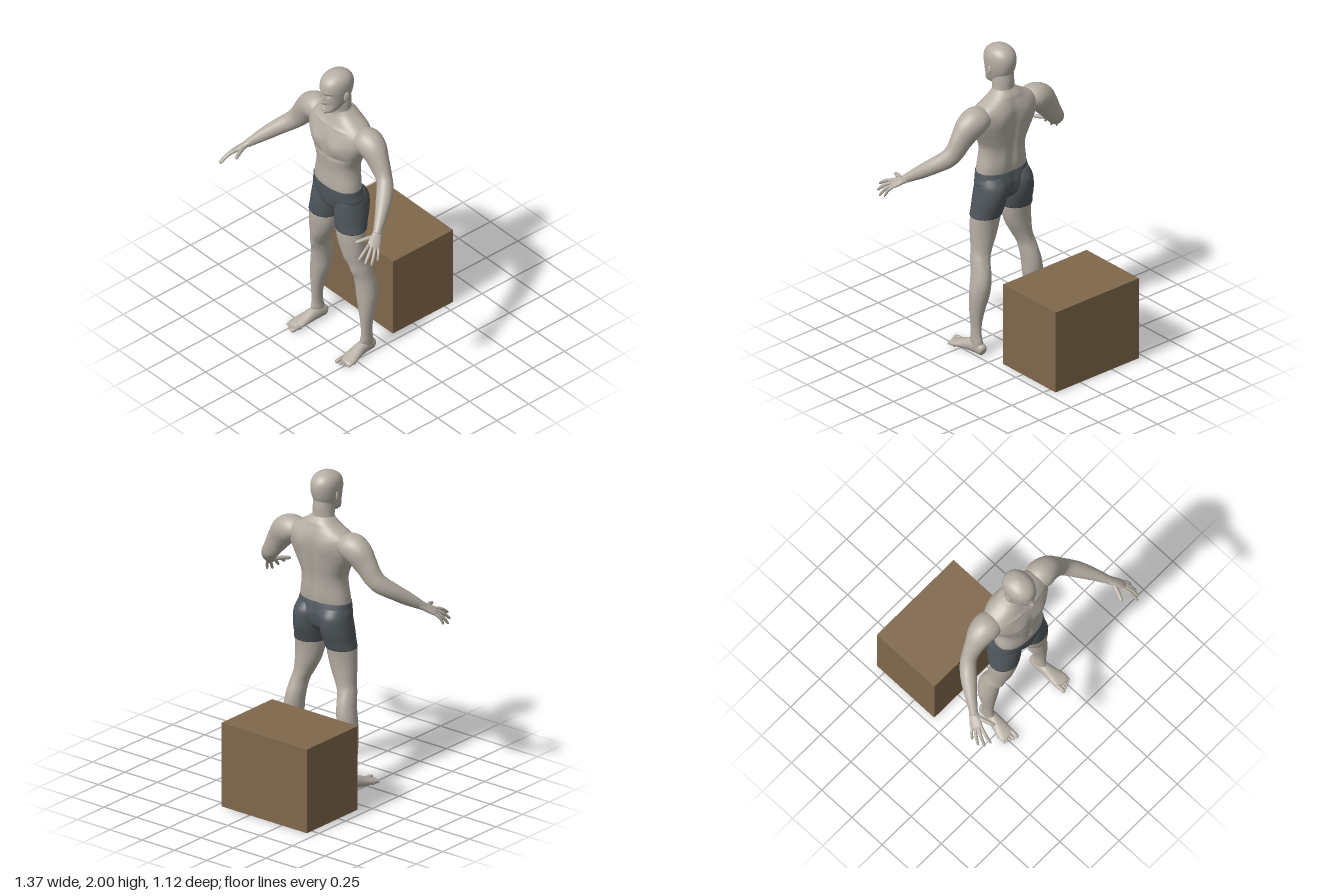
import * as THREE from 'three';

const skin = new THREE.MeshStandardMaterial({ color: 0xb5aea4 });
skin.name = 'skin';
const cloth = new THREE.MeshStandardMaterial({ color: 0x50575c });
cloth.name = 'shortsCloth';
const wood = new THREE.MeshStandardMaterial({ color: 0x80684b });
wood.name = 'boxBrown';

// Catmull-Rom resampling of every column of a key table
function smooth(keys, steps) {
  const rows = [];
  const last = keys.length - 1;
  for (let i = 0; i < last; i++) {
    const p0 = keys[Math.max(i - 1, 0)], p1 = keys[i];
    const p2 = keys[i + 1], p3 = keys[Math.min(i + 2, last)];
    for (let s = 0; s < steps; s++) {
      const t = s / steps;
      rows.push(p1.map((b, k) => 0.5 * (2 * b + (p2[k] - p0[k]) * t
        + (2 * p0[k] - 5 * b + 4 * p2[k] - p3[k]) * t * t
        + (3 * b - p0[k] - 3 * p2[k] + p3[k]) * t * t * t)));
    }
  }
  rows.push(keys[last].slice());
  return rows;
}

// Closed skin over a list of rings, each an array of Vector3
function skinRings(name, rings, material) {
  const n = rings[0].length, pos = [], index = [];
  rings.forEach(r => r.forEach(v => pos.push(v.x, v.y, v.z)));
  for (let i = 0; i < rings.length - 1; i++) {
    for (let j = 0; j < n; j++) {
      const a = i * n + j, b = i * n + (j + 1) % n;
      index.push(a, a + n, b, b, a + n, b + n);
    }
  }
  [0, rings.length - 1].forEach((r, end) => {
    const c = new THREE.Vector3();
    rings[r].forEach(v => c.addScaledVector(v, 1 / n));
    const id = pos.length / 3;
    pos.push(c.x, c.y, c.z);
    for (let j = 0; j < n; j++) {
      const a = r * n + j, b = r * n + (j + 1) % n;
      if (end) index.push(id, b, a); else index.push(id, a, b);
    }
  });
  const g = new THREE.BufferGeometry();
  g.setAttribute('position', new THREE.Float32BufferAttribute(pos, 3));
  g.setIndex(index);
  g.computeVertexNormals();
  const mesh = new THREE.Mesh(g, material);
  mesh.name = name;
  return mesh;
}

// Upright body: keys [centreX, y, halfWidth, zFront, zBack];
// bumps [x, y, spreadX, spreadY, amount, front(1)/back(-1)] are mirrored
function upright(name, keys, material, { side = 1, n = 48, steps = 6, e = 1, bumps = [] } = {}) {
  const rings = smooth(keys, steps).map(([cx, y, rx, zf, zb]) => {
    const ring = [];
    for (let j = 0; j < n; j++) {
      const t = j / n * Math.PI * 2, c = Math.cos(t), s = Math.sin(t);
      const x = side * cx + rx * Math.sign(c) * Math.abs(c) ** e;
      let z = (zf + zb) / 2 + (zf - zb) / 2 * Math.sign(s) * Math.abs(s) ** e;
      for (const [bx, by, sx, sy, amount, face] of bumps) {
        if (s * face <= 0) continue;
        const u = (Math.abs(x) - bx) / sx, v = (y - by) / sy;
        z += face * amount * Math.abs(s) * Math.exp(-u * u - v * v);
      }
      ring.push(new THREE.Vector3(x, y, z));
    }
    return ring;
  });
  return skinRings(name, rings, material);
}

// Limb along a path: keys [x, y, z, halfWidth, halfThickness]
function limb(name, keys, side, up, { n = 28, steps = 6 } = {}) {
  const rows = smooth(keys, steps);
  const pts = rows.map(r => new THREE.Vector3(r[0] * side, r[1], r[2]));
  const upV = new THREE.Vector3(up[0] * side, up[1], up[2]);
  const rings = rows.map((r, i) => {
    const T = pts[Math.min(i + 1, pts.length - 1)].clone().sub(pts[Math.max(i - 1, 0)]).normalize();
    const U = T.clone().cross(upV).normalize(), V = U.clone().cross(T);
    return Array.from({ length: n }, (_, j) => {
      const t = j / n * Math.PI * 2;
      return pts[i].clone().addScaledVector(U, r[3] * Math.cos(t)).addScaledVector(V, r[4] * Math.sin(t));
    });
  });
  return skinRings(name, rings, skin);
}

// Finger or toe: slightly arched, with a rounded tip
function digit(name, from, to, r, arch, side, up) {
  const at = (t, k, lift) => [0, 1, 2].map(i => from[i] + (to[i] - from[i]) * t + up[i] * lift)
    .concat(r * k, r * k);
  return limb(name, [at(0, 1, 0), at(0.4, 1, arch), at(0.75, 0.9, arch * 0.6),
    at(0.93, 0.7, arch * 0.15), at(1, 0.15, 0)], side, up, { n: 12, steps: 3 });
}

function ball(name, x, y, z, sx, sy, sz) {
  const mesh = new THREE.Mesh(new THREE.SphereGeometry(1, 20, 14), skin);
  mesh.name = name;
  mesh.position.set(x, y, z);
  mesh.scale.set(sx, sy, sz);
  return mesh;
}

export function createModel() {
  const model = new THREE.Group();
  model.name = 'manWithBox';

  // Box behind the figure
  const box = new THREE.Mesh(new THREE.BoxGeometry(0.66, 0.54, 0.476), wood);
  box.name = 'box';
  box.position.set(-0.125, 0.28, -0.322);
  model.add(box);

  // Torso with chest, belly and back muscles
  model.add(upright('torso', [
    [0, 1.165, 0.172, 0.272, 0.075], [0, 1.22, 0.168, 0.272, 0.068], [0, 1.30, 0.155, 0.268, 0.064],
    [0, 1.36, 0.157, 0.272, 0.056], [0, 1.42, 0.182, 0.278, 0.045], [0, 1.48, 0.212, 0.28, 0.036],
    [0, 1.54, 0.235, 0.276, 0.030], [0, 1.60, 0.235, 0.258, 0.030], [0, 1.64, 0.2, 0.238, 0.038],
    [0, 1.675, 0.14, 0.222, 0.05], [0, 1.70, 0.1, 0.212, 0.06], [0, 1.73, 0.065, 0.205, 0.085],
  ], skin, { n: 96, steps: 8, e: 0.88, bumps: [
    [0.09, 1.50, 0.06, 0.045, 0.014, 1], [0, 1.50, 0.014, 0.07, -0.008, 1],
    [0.09, 1.425, 0.07, 0.016, -0.008, 1], [0, 1.32, 0.012, 0.09, -0.005, 1],
    [0.045, 1.33, 0.03, 0.09, 0.004, 1], [0, 1.235, 0.009, 0.009, -0.009, 1],
    [0.08, 1.625, 0.06, 0.01, 0.006, 1], [0, 1.42, 0.022, 0.2, -0.014, -1],
    [0.10, 1.57, 0.05, 0.06, 0.010, -1], [0.06, 1.27, 0.03, 0.08, 0.006, -1],
  ] }));

  // Neck and head
  model.add(upright('neck', [
    [0, 1.62, 0.10, 0.2, 0.055], [0, 1.68, 0.083, 0.212, 0.066], [0, 1.72, 0.07, 0.212, 0.084],
    [0, 1.78, 0.066, 0.222, 0.085], [0, 1.83, 0.06, 0.2, 0.09],
  ], skin, { bumps: [[0, 1.71, 0.014, 0.018, 0.006, 1]] }));
  model.add(upright('head', [
    [0, 1.735, 0.022, 0.282, 0.215], [0, 1.75, 0.045, 0.29, 0.17], [0, 1.775, 0.06, 0.287, 0.13],
    [0, 1.81, 0.072, 0.284, 0.10], [0, 1.85, 0.080, 0.285, 0.08], [0, 1.90, 0.085, 0.292, 0.070],
    [0, 1.94, 0.082, 0.285, 0.075], [0, 1.97, 0.068, 0.262, 0.095], [0, 1.99, 0.042, 0.225, 0.125],
    [0, 2.0, 0.008, 0.185, 0.165],
  ], skin, { n: 112, steps: 9, e: 0.94, bumps: [
    [0, 1.838, 0.011, 0.024, 0.016, 1], [0, 1.820, 0.013, 0.010, 0.016, 1],
    [0.014, 1.816, 0.008, 0.007, 0.008, 1], [0.033, 1.872, 0.016, 0.011, -0.013, 1],
    [0.032, 1.892, 0.024, 0.007, 0.004, 1], [0, 1.784, 0.019, 0.005, 0.007, 1],
    [0, 1.770, 0.017, 0.005, 0.007, 1], [0, 1.777, 0.024, 0.003, -0.005, 1],
    [0, 1.748, 0.02, 0.010, 0.005, 1], [0.045, 1.80, 0.018, 0.02, -0.005, 1],
  ] }));

  // Shorts seat
  model.add(upright('shortsSeat', [
    [0, 0.985, 0.04, 0.21, 0.11], [0, 1.03, 0.14, 0.25, 0.065], [0, 1.10, 0.189, 0.27, 0.05],
    [0, 1.15, 0.182, 0.276, 0.060], [0, 1.185, 0.176, 0.277, 0.070],
  ], cloth, { n: 64, e: 0.88, bumps: [[0, 1.06, 0.04, 0.05, 0.012, 1], [0, 1.08, 0.02, 0.08, -0.012, -1]] }));

  for (const side of [1, -1]) {
    const label = side > 0 ? 'left' : 'right';
    const add = (...meshes) => model.add(...meshes);

    // Eye and ear
    add(ball(label + 'Eye', side * 0.033, 1.873, 0.261, 0.012, 0.009, 0.012));
    const ear = ball(label + 'Ear', side * 0.087, 1.853, 0.178, 0.008, 0.033, 0.019);
    ear.rotation.set(-0.15, side * -0.3, 0);
    add(ear);

    // Leg and shorts leg
    add(upright(label + 'Leg', [
      [0.220, 0.04, 0.030, 0.17, 0.085], [0.223, 0.09, 0.029, 0.185, 0.092], [0.225, 0.13, 0.027, 0.18, 0.099],
      [0.225, 0.20, 0.030, 0.18, 0.10], [0.221, 0.30, 0.045, 0.186, 0.083], [0.210, 0.40, 0.061, 0.19, 0.062],
      [0.202, 0.48, 0.060, 0.194, 0.055], [0.192, 0.55, 0.057, 0.2, 0.066], [0.181, 0.62, 0.056, 0.218, 0.087],
      [0.160, 0.68, 0.064, 0.232, 0.10], [0.138, 0.76, 0.083, 0.25, 0.10], [0.125, 0.84, 0.094, 0.26, 0.094],
      [0.118, 0.92, 0.097, 0.262, 0.082],
    ], skin, { side, bumps: [
      [0.185, 0.61, 0.025, 0.03, 0.006, 1], [0.13, 0.70, 0.03, 0.04, 0.006, 1],
      [0.19, 0.64, 0.025, 0.05, -0.005, -1],
    ] }));
    add(upright(label + 'ShortsLeg', [
      [0.120, 0.898, 0.100, 0.265, 0.079], [0.111, 0.95, 0.100, 0.266, 0.062], [0.106, 1.0, 0.100, 0.266, 0.045],
      [0.101, 1.06, 0.097, 0.262, 0.035], [0.096, 1.11, 0.093, 0.255, 0.039], [0.09, 1.16, 0.08, 0.235, 0.07],
    ], cloth, { side }));

    // Foot and toes
    add(limb(label + 'Foot', [
      [0.217, 0.032, 0.076, 0.012, 0.018], [0.217, 0.036, 0.088, 0.028, 0.034], [0.218, 0.046, 0.13, 0.033, 0.044],
      [0.221, 0.044, 0.18, 0.037, 0.042], [0.228, 0.032, 0.24, 0.045, 0.030], [0.235, 0.022, 0.29, 0.051, 0.020],
      [0.237, 0.017, 0.318, 0.046, 0.014], [0.237, 0.015, 0.328, 0.03, 0.007],
    ], side, [0, 1, 0]));
    for (let i = 0; i < 5; i++) {
      const x = i ? 0.204 + i * 0.018 : 0.199, r = i ? 0.0105 - i * 0.0004 : 0.0145;
      add(digit(label + 'Toe' + (i + 1), [x, r + 0.004, 0.295 - i * 0.005],
        [x + 0.002, r + 0.001, 0.366 - i * 0.008], r, 0.004, side, [0, 1, 0]));
    }

    // Arm from shoulder to wrist
    add(limb(label + 'Arm', [
      [0.15, 1.58, 0.135, 0.065, 0.05], [0.22, 1.582, 0.135, 0.088, 0.083], [0.28, 1.555, 0.135, 0.082, 0.088],
      [0.335, 1.49, 0.14, 0.062, 0.076], [0.385, 1.42, 0.147, 0.050, 0.063], [0.425, 1.375, 0.168, 0.050, 0.057],
      [0.475, 1.33, 0.22, 0.049, 0.050], [0.53, 1.275, 0.29, 0.038, 0.042], [0.575, 1.227, 0.355, 0.027, 0.029],
      [0.59, 1.21, 0.376, 0.026, 0.024],
    ], side, [0, 1, 0]));

    // Palm, fingers and thumb
    const back = [0.58, 0.8, 0.14];
    add(limb(label + 'Palm', [
      [0.575, 1.227, 0.352, 0.026, 0.022], [0.595, 1.206, 0.382, 0.031, 0.019], [0.613, 1.188, 0.41, 0.038, 0.017],
      [0.628, 1.173, 0.433, 0.038, 0.014], [0.637, 1.164, 0.447, 0.026, 0.007],
    ], side, back));
    const fingers = [
      ['Index', [0.608, 1.182, 0.452], [0.630, 1.125, 0.556], 0.0105],
      ['Middle', [0.622, 1.175, 0.443], [0.663, 1.100, 0.535], 0.0105],
      ['Ring', [0.636, 1.167, 0.430], [0.680, 1.082, 0.498], 0.010],
      ['Little', [0.645, 1.163, 0.413], [0.682, 1.095, 0.450], 0.009],
    ];
    for (const [finger, from, to, r] of fingers) {
      add(digit(label + finger + 'Finger', from, to, r, 0.01, side, back));
    }
    add(digit(label + 'Thumb', [0.588, 1.203, 0.395], [0.545, 1.185, 0.508], 0.0135, 0.004, side, back));
  }
  return model;
}
